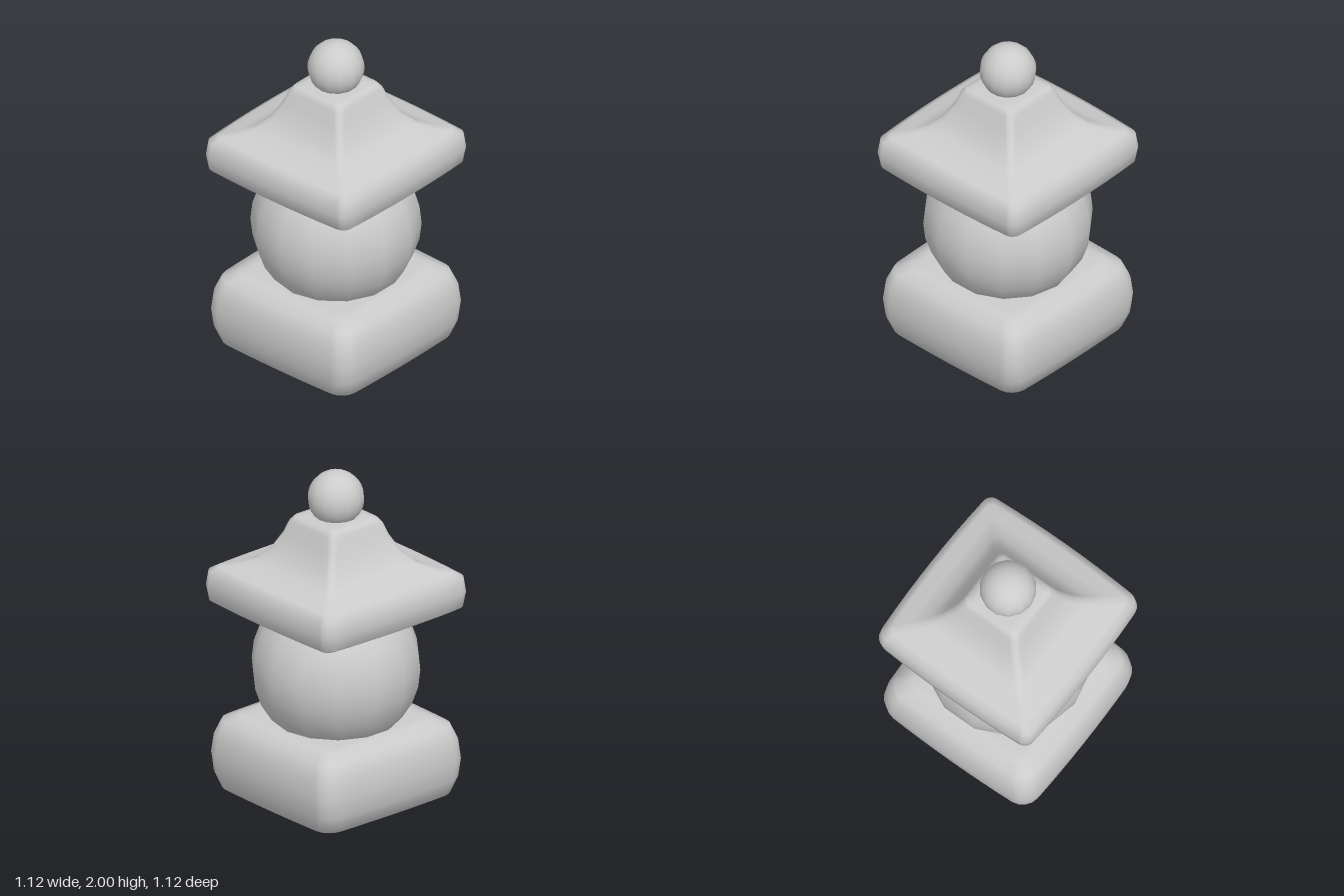
import * as THREE from 'three';

const material = new THREE.MeshStandardMaterial({ color: 0xcccccc });

// Square outline with rounded corners; each side swells outward by "bulge".
function squareRing(y, half, bulge, radius) {
  const quarter = [];
  const inner = half - radius;
  for (let i = 0; i < 8; i++) quarter.push([half, inner * (i / 4 - 1)]);
  for (let i = 0; i < 4; i++) {
    const a = (i / 4) * Math.PI / 2;
    quarter.push([inner + radius * Math.cos(a), inner + radius * Math.sin(a)]);
  }
  const swell = (u, v) => u + bulge * (u / half) * (1 - (v / half) ** 2);
  const ring = [];
  for (let q = 0; q < 4; q++) {
    for (const [a, b] of quarter) {
      const [x, z] = [[a, b], [-b, a], [-a, -b], [b, -a]][q];
      ring.push(swell(x, z), y, swell(z, x));
    }
  }
  return ring;
}

// Stacks square rings [y, half, bulge, radius] from bottom to top and caps both ends.
function squareLoft(name, profile) {
  const positions = profile.flatMap((p) => squareRing(...p));
  const n = positions.length / 3 / profile.length;
  const index = [];
  for (let r = 0; r < profile.length - 1; r++) {
    for (let i = 0; i < n; i++) {
      const a = r * n + i, b = r * n + (i + 1) % n;
      index.push(a, a + n, b, b, a + n, b + n);
    }
  }
  const bottom = positions.length / 3, top = bottom + 1, last = (profile.length - 1) * n;
  positions.push(0, profile[0][0], 0, 0, profile[profile.length - 1][0], 0);
  for (let i = 0; i < n; i++) {
    const j = (i + 1) % n;
    index.push(bottom, i, j, top, last + j, last + i);
  }
  const geometry = new THREE.BufferGeometry();
  geometry.setAttribute('position', new THREE.Float32BufferAttribute(positions, 3));
  geometry.setIndex(index);
  geometry.computeVertexNormals();
  const mesh = new THREE.Mesh(geometry, material);
  mesh.name = name;
  return mesh;
}

function ball(name, radius, y) {
  const mesh = new THREE.Mesh(new THREE.SphereGeometry(radius, 14, 14), material);
  mesh.name = name;
  mesh.position.y = y;
  return mesh;
}

export function createModel() {
  const group = new THREE.Group();
  group.name = 'stoneTower';

  // Cushion-shaped base block
  group.add(squareLoft('baseBlock', [
    [0, 0.36, 0, 0.06],
    [0.003, 0.41, 0, 0.07],
    [0.04, 0.485, 0.012, 0.09],
    [0.14, 0.52, 0.016, 0.1],
    [0.25, 0.53, 0.02, 0.1],
    [0.36, 0.52, 0.016, 0.1],
    [0.455, 0.485, 0.012, 0.09],
    [0.49, 0.41, 0, 0.07],
    [0.493, 0.36, 0, 0.06],
  ]));

  // Round body
  group.add(ball('roundBody', 0.487, 0.81));

  // Roof with a thick eave and a concave slope
  const roof = squareLoft('roof', [
    [1.16, 0.44, 0.01, 0.04],
    [1.162, 0.485, 0.015, 0.04],
    [1.19, 0.525, 0.018, 0.05],
    [1.28, 0.54, 0.02, 0.06],
    [1.37, 0.527, 0.02, 0.05],
    [1.398, 0.485, 0.016, 0.04],
    [1.41, 0.42, 0.005, 0.04],
    [1.45, 0.335, 0, 0.04],
    [1.52, 0.273, 0, 0.04],
    [1.62, 0.223, 0, 0.04],
    [1.69, 0.2, 0, 0.04],
    [1.72, 0.178, 0, 0.04],
    [1.73, 0.14, 0, 0.03],
  ]);
  group.add(roof);

  // Finial ball
  group.add(ball('finialBall', 0.163, 1.837));

  return group;
}
